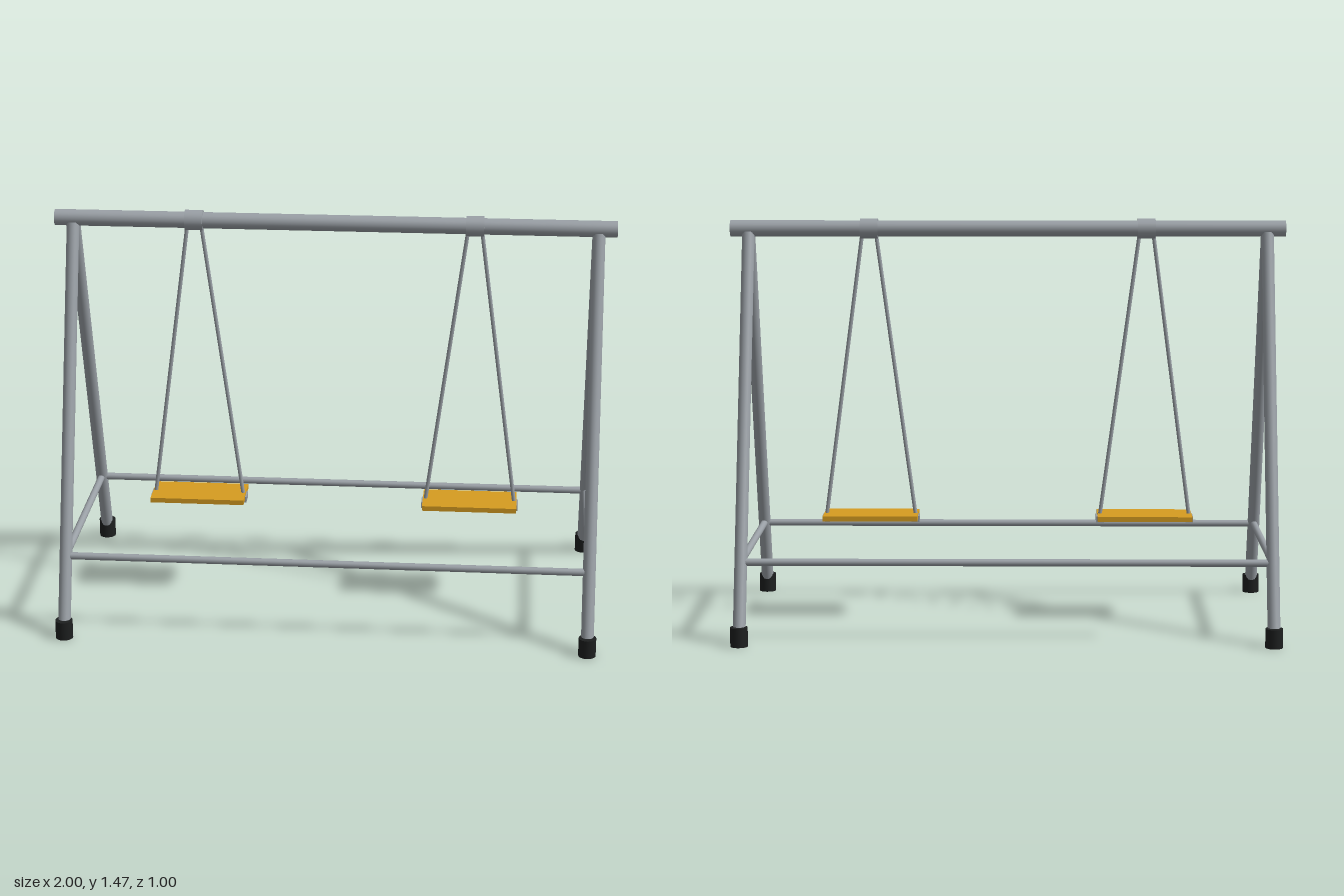
import * as THREE from 'three';

export function createModel() {
  const model = new THREE.Group();
  model.name = 'swingSet';
  const steel = new THREE.MeshStandardMaterial({ name: 'grey steel', color: 0x9aa0a6 });
  const yellow = new THREE.MeshStandardMaterial({ name: 'yellow seat', color: 0xd69c20 });
  const rubber = new THREE.MeshStandardMaterial({ name: 'black rubber', color: 0x1d1f1f });

  function add(parent, name, geometry, material, x, y, z) {
    const mesh = new THREE.Mesh(geometry, material);
    mesh.name = name;
    mesh.position.set(x, y, z);
    parent.add(mesh);
    return mesh;
  }

  // Round bar between two points
  function bar(parent, name, a, b, radius, sides = 24) {
    const from = new THREE.Vector3(...a), to = new THREE.Vector3(...b);
    const dir = to.clone().sub(from);
    const mid = from.add(to).multiplyScalar(0.5);
    const geometry = new THREE.CylinderGeometry(radius, radius, dir.length(), sides);
    const mesh = add(parent, name, geometry, steel, mid.x, mid.y, mid.z);
    mesh.quaternion.setFromUnitVectors(new THREE.Vector3(0, 1, 0), dir.normalize());
  }

  const beamY = 1.432, legX = 0.935, railY = 0.283, railZ = 0.385;

  // Top beam
  bar(model, 'topBeam', [-1, beamY, 0], [1, beamY, 0], 0.029, 32);

  // A-frames with feet, and the lower rails joining them
  for (const x of [-legX, legX]) {
    const frame = new THREE.Group();
    frame.name = x > 0 ? 'leftFrame' : 'rightFrame';
    model.add(frame);
    for (const s of [1, -1]) {
      const end = s > 0 ? 'front' : 'back';
      bar(frame, end + 'Leg', [x, 0.025, s * 0.469], [x, 1.415, s * 0.009], 0.0225);
      add(frame, end + 'Foot', new THREE.CylinderGeometry(0.031, 0.031, 0.068, 24), rubber, x, 0.034, s * 0.468);
    }
    bar(frame, 'sideRail', [x, railY, -railZ], [x, railY, railZ], 0.013, 16);
  }
  for (const s of [1, -1]) {
    bar(model, s > 0 ? 'frontRail' : 'backRail', [-legX, railY, s * railZ], [legX, railY, s * railZ], 0.013, 16);
  }

  // Swings: collar on the beam, two spreading hangers, plank seat and brackets
  for (const x of [-0.5, 0.5]) {
    const swing = new THREE.Group();
    swing.name = x > 0 ? 'leftSwing' : 'rightSwing';
    swing.position.x = x;
    model.add(swing);
    bar(swing, 'collar', [-0.032, beamY, 0], [0.032, beamY, 0], 0.036, 32);
    add(swing, 'seat', new THREE.BoxGeometry(0.344, 0.018, 0.164), yellow, 0, 0.382, 0);
    for (const s of [1, -1]) {
      bar(swing, 'hanger', [s * 0.024, 1.42, 0], [s * 0.164, 0.375, 0], 0.007, 12);
      add(swing, 'seatBracket', new THREE.BoxGeometry(0.028, 0.022, 0.058), steel, s * 0.163, 0.373, 0);
    }
  }
  return model;
}
